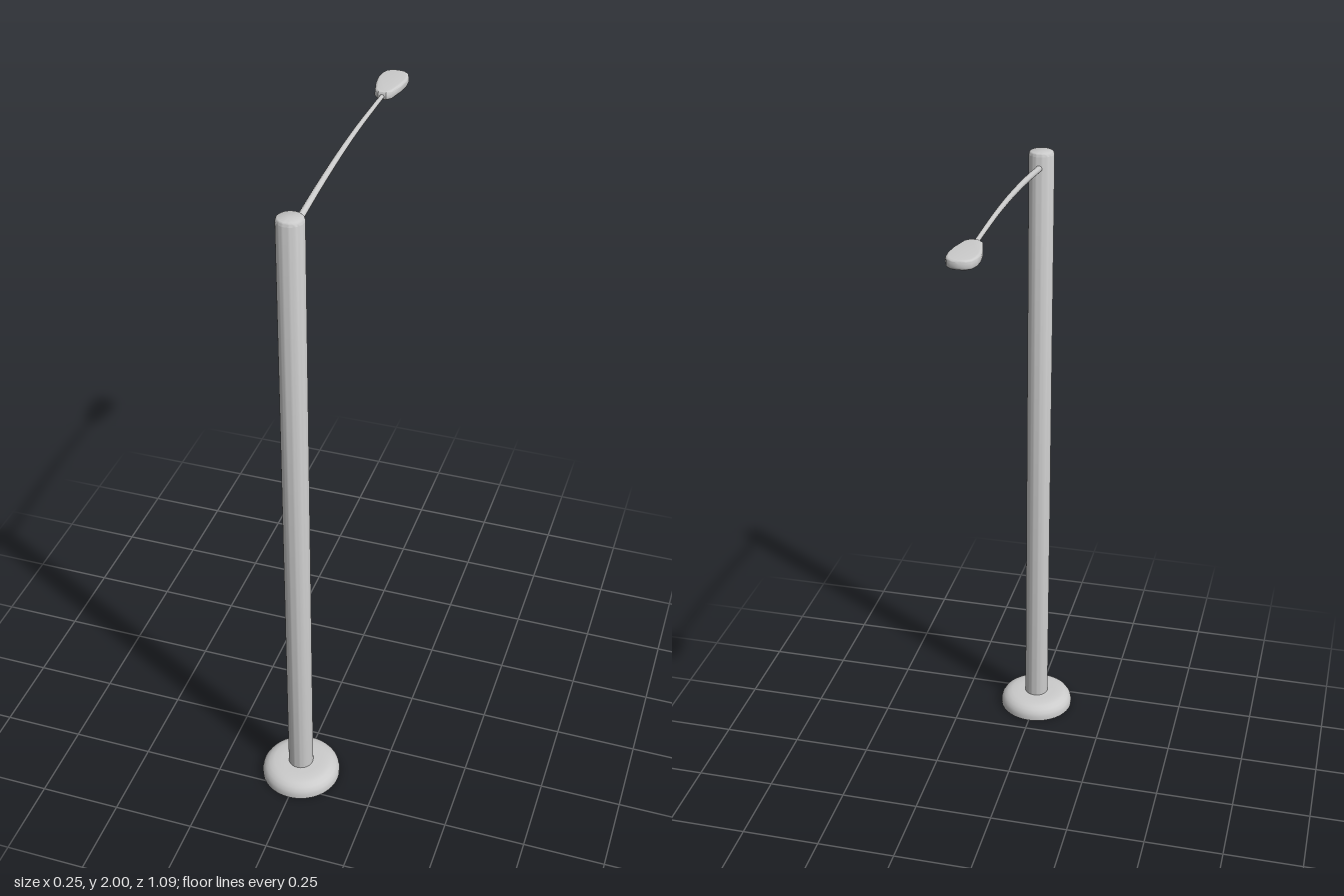
import * as THREE from 'three';
import { toCreasedNormals } from 'three/addons/utils/BufferGeometryUtils.js';

export function createModel() {
  const group = new THREE.Group();
  group.name = 'streetLamp';
  const material = new THREE.MeshStandardMaterial({ color: 0xcccccc });
  const poleZ = 0.42;

  const add = (name, geometry, z = 0) => {
    const mesh = new THREE.Mesh(geometry, material);
    mesh.name = name;
    mesh.position.z = z;
    group.add(mesh);
  };
  const lathe = (points) => toCreasedNormals(
    new THREE.LatheGeometry(points.map(([r, y]) => new THREE.Vector2(r, y)), 40), 0.7);

  // Round foot with a softly rolled rim
  add('base', lathe([[0, 0], [0.123, 0], [0.123, 0.014], [0.12, 0.026], [0.112, 0.037],
    [0.1, 0.045], [0.085, 0.049], [0.06, 0.05], [0, 0.05]]), poleZ);

  // Straight pole with a slightly eased top edge
  add('pole', lathe([[0, 0.03], [0.039, 0.03], [0.039, 1.99], [0.037, 1.997],
    [0.033, 2], [0, 2]]), poleZ);

  // Arched arm, tapering towards the lamp
  const curve = new THREE.CatmullRomCurve3([[1.953, 0.4], [1.974, 0.2], [1.987, 0],
    [1.99, -0.15], [1.987, -0.3], [1.984, -0.4]].map(([y, z]) => new THREE.Vector3(0, y, z)));
  const segments = 32, sides = 12;
  const arm = new THREE.TubeGeometry(curve, segments, 0.01, sides);
  const pos = arm.attributes.position, v = new THREE.Vector3();
  for (let i = 0; i < pos.count; i++) {
    const t = Math.floor(i / (sides + 1)) / segments;
    const centre = curve.getPointAt(t);
    v.fromBufferAttribute(pos, i).sub(centre).multiplyScalar(1 - 0.35 * t).add(centre);
    pos.setXYZ(i, v.x, v.y, v.z);
  }
  arm.computeVertexNormals();
  add('arm', arm);

  // Flat paddle-shaped lamp head with rounded edges
  const bevel = 0.008;
  const right = [[0.012, 0.375], [0.026, 0.389], [0.03, 0.405], [0.039, 0.44], [0.044, 0.48],
    [0.042, 0.51], [0.034, 0.531], [0.02, 0.542]];
  const outline = [...right, [0, 0.545], ...right.map(([x, y]) => [-x, y]).reverse()];
  const head = new THREE.ExtrudeGeometry(
    new THREE.Shape(outline.map(([x, y]) => new THREE.Vector2(x, y))),
    { depth: 0.011, bevelEnabled: true, bevelThickness: bevel, bevelSize: bevel,
      bevelOffset: -bevel, bevelSegments: 4 });
  head.rotateX(-Math.PI / 2).translate(0, 1.981, 0);
  add('lampHead', toCreasedNormals(head, 0.6));

  return group;
}
